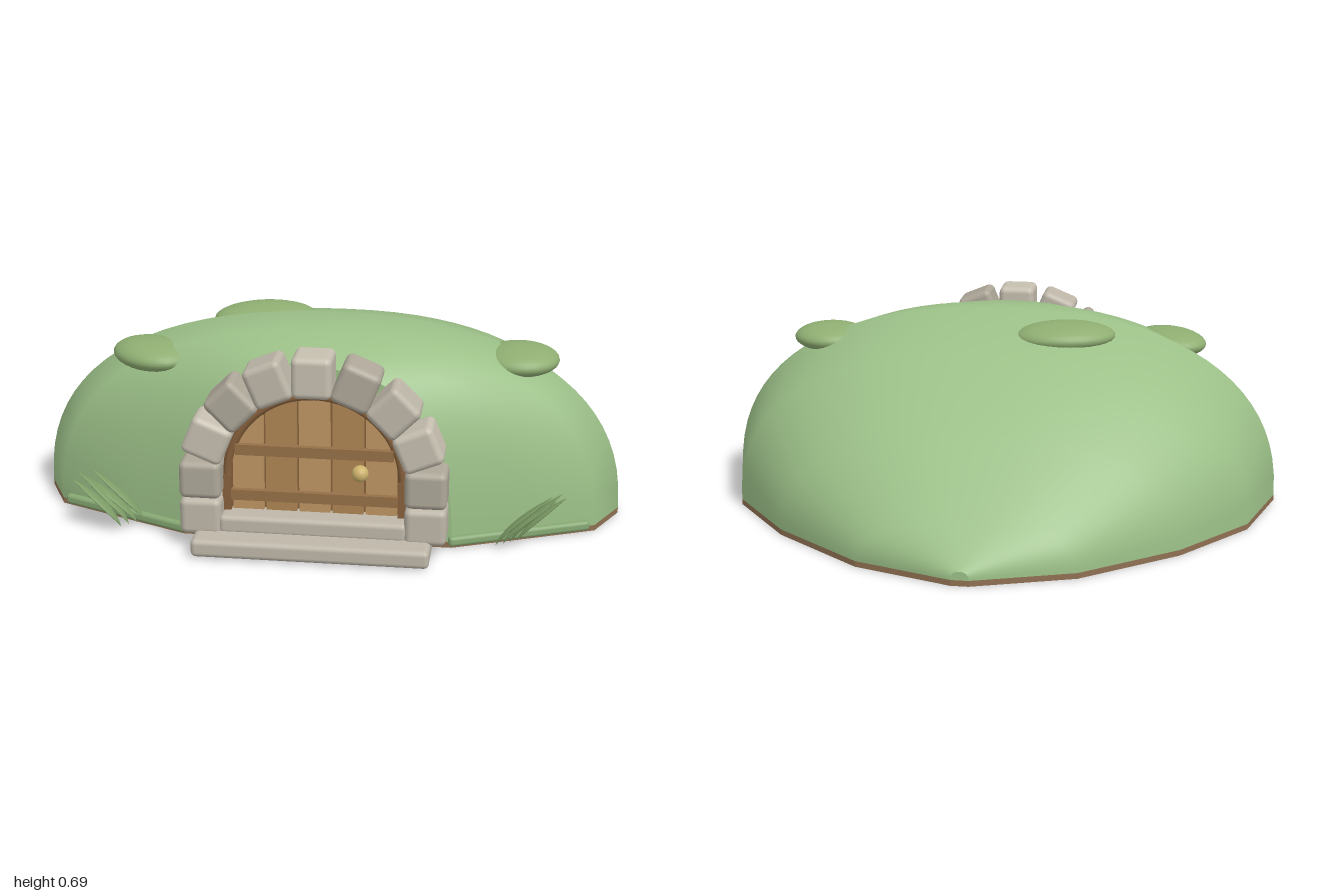
import * as THREE from 'three';
import { RoundedBoxGeometry } from 'three/addons/geometries/RoundedBoxGeometry.js';

const mat = (color, side = THREE.FrontSide) => new THREE.MeshStandardMaterial({ color, side });
const GRASS = mat(0x9cc088), BUSH = mat(0x8fae72), BLADE = mat(0x7f9f68), STRIP = mat(0x86a873);
const EARTH = mat(0x8f7052), SOIL = mat(0x43372c);
const STONES = [mat(0xbdb6a8), mat(0xaea799), mat(0xc6bfb0)];
const PLANKS = [mat(0xbd9562), mat(0xad8554)];
const FRAME = mat(0x86603c), BAR = mat(0x957048), BRASS = mat(0xcdb26c);

// Mound sections from front to back: z, half width, height
const SECTIONS = [
  [0.58, 0.45, 0.61], [0.5, 0.64, 0.65], [0.38, 0.92, 0.67], [0.22, 1, 0.685],
  [-0.11, 0.91, 0.595], [-0.4, 0.69, 0.395], [-0.66, 0.37, 0.17], [-0.78, 0.03, 0.05],
];
const BASE = 0.02;
const ARCH_Y = 0.24;

function add(parent, name, geometry, material, x = 0, y = 0, z = 0) {
  const mesh = new THREE.Mesh(geometry, material);
  mesh.name = name;
  mesh.position.set(x, y, z);
  parent.add(mesh);
  return mesh;
}

function moundGeometry() {
  const N = 40, row = N + 1, pos = [], idx = [];
  const ring = ([z, w, h]) => {
    for (let i = 0; i <= N; i++) {
      const t = (Math.PI * i) / N, c = Math.cos(t), s = Math.max(0, Math.sin(t));
      pos.push(w * Math.sign(c) * Math.abs(c) ** 0.85, BASE + (h - BASE) * s ** 0.85, z);
    }
  };
  SECTIONS.forEach(ring);
  for (let j = 0; j < SECTIONS.length - 1; j++) {
    for (let i = 0; i < N; i++) {
      const a = j * row + i, b = a + row;
      idx.push(a, b, a + 1, a + 1, b, b + 1);
    }
  }
  // Flat end caps
  [SECTIONS[0], SECTIONS[SECTIONS.length - 1]].forEach((section, k) => {
    const start = pos.length / 3;
    ring(section);
    const centre = pos.length / 3;
    pos.push(0, BASE, section[0]);
    for (let i = start; i < start + N; i++) idx.push(centre, k ? i + 1 : i, k ? i : i + 1);
  });
  const g = new THREE.BufferGeometry();
  g.setAttribute('position', new THREE.Float32BufferAttribute(pos, 3));
  g.setIndex(idx);
  g.computeVertexNormals();
  return g;
}

// Upright slice of a round-topped panel between x0 and x1
function archPanel(x0, x1, radius, bottom, depth) {
  const s = new THREE.Shape();
  s.moveTo(x0, bottom);
  s.lineTo(x1, bottom);
  for (let i = 0; i <= 16; i++) {
    const x = x1 + ((x0 - x1) * i) / 16;
    s.lineTo(x, ARCH_Y + Math.sqrt(Math.max(0, radius * radius - x * x)));
  }
  return new THREE.ExtrudeGeometry(s, { depth, bevelEnabled: false });
}

// Pointed leaf that leans sideways as it rises
function bladeGeometry(lean, height) {
  const g = new THREE.SphereGeometry(1, 10, 10), p = g.attributes.position;
  for (let i = 0; i < p.count; i++) {
    const y = p.getY(i), s = (y + 1) / 2, r = Math.sqrt(Math.max(0, 1 - y * y));
    p.setXYZ(i, p.getX(i) * r * 0.009 + lean * s ** 1.3, height * s, p.getZ(i) * r * 0.026);
  }
  g.computeVertexNormals();
  return g;
}

export function createModel() {
  const model = new THREE.Group();
  model.name = 'moundHouse';

  // Grassy mound on an earth slab
  add(model, 'mound', moundGeometry(), GRASS);
  const outline = [
    ...SECTIONS.map(([z, w]) => new THREE.Vector2(w, -z)),
    ...[...SECTIONS].reverse().map(([z, w]) => new THREE.Vector2(-w, -z)),
  ];
  const slab = new THREE.ExtrudeGeometry(new THREE.Shape(outline), { depth: BASE, bevelEnabled: false });
  slab.rotateX(-Math.PI / 2);
  add(model, 'earthSlab', slab, [SOIL, EARTH]);

  // Low bushes on the mound: x, y, z, radius x, radius z, turn
  [[-0.24, 0.622, 0.1, 0.18, 0.125, 0.25], [-0.595, 0.555, 0.34, 0.15, 0.115, -0.65],
    [0.645, 0.555, 0.24, 0.135, 0.13, 0.2]].forEach(([x, y, z, rx, rz, turn]) => {
    const bush = add(model, 'bush', new THREE.SphereGeometry(1, 28, 18), BUSH, x, y, z);
    bush.scale.set(rx, 0.05, rz);
    bush.rotation.y = turn;
  });

  // Arch stones: two jamb blocks each side and a ring of seven
  const arch = new THREE.Group();
  arch.name = 'stoneArch';
  model.add(arch);
  const Z = 0.635;
  for (const side of [-1, 1]) {
    [0.115, 0.243].forEach((y, i) => add(arch, 'jambStone',
      new RoundedBoxGeometry(0.138, 0.126 + i * 0.002, 0.13, 3, 0.022), STONES[i], side * 0.37, y, Z));
  }
  for (let i = 0; i < 7; i++) {
    const a = (Math.PI * (i + 1)) / 8;
    const stone = add(arch, i === 3 ? 'keystone' : 'archStone',
      new RoundedBoxGeometry(0.132, 0.14, 0.138, 3, 0.022), STONES[(i + 2) % 3],
      0.372 * Math.cos(a), ARCH_Y + 0.372 * Math.sin(a), Z);
    stone.rotation.z = a - Math.PI / 2;
  }
  add(model, 'sill', new RoundedBoxGeometry(0.62, 0.065, 0.12, 3, 0.018), STONES[0], 0, 0.09, 0.635);
  add(model, 'doorstep', new RoundedBoxGeometry(0.78, 0.062, 0.2, 3, 0.018), STONES[0], 0, 0.038, 0.68);

  // Round-topped plank door
  const door = new THREE.Group();
  door.name = 'door';
  model.add(door);
  add(door, 'doorBacking', archPanel(-0.31, 0.31, 0.31, 0.06, 0.03), FRAME, 0, 0, 0.572);
  const rim = add(door, 'doorFrame', new THREE.TorusGeometry(0.29, 0.016, 8, 32, Math.PI), FRAME, 0, ARCH_Y, 0.615);
  rim.scale.z = 1.4;
  for (const side of [-1, 1]) {
    add(door, 'framePost', new THREE.BoxGeometry(0.028, 0.16, 0.045), FRAME, side * 0.29, 0.165, 0.615);
  }
  for (let i = 0; i < 5; i++) {
    const x = -0.275 + i * 0.11;
    add(door, 'plank', archPanel(x + 0.004, x + 0.106, 0.28, 0.1, 0.022), PLANKS[i % 2], 0, 0, 0.6);
  }
  add(door, 'upperBar', new THREE.BoxGeometry(0.52, 0.036, 0.022), BAR, 0, 0.338, 0.63);
  add(door, 'lowerBar', new THREE.BoxGeometry(0.55, 0.036, 0.022), BAR, 0, 0.178, 0.63);
  add(door, 'knob', new THREE.SphereGeometry(0.028, 18, 12), BRASS, 0.153, 0.278, 0.648);

  // Turf edging and grass tufts on both sides of the door
  for (const side of [-1, 1]) {
    const edge = add(model, 'turfEdge', new RoundedBoxGeometry(0.5, 0.034, 0.03, 2, 0.012), STRIP,
      side * 0.67, 0.027, 0.492);
    edge.rotation.y = side * Math.atan2(0.2, 0.47);
    const tuft = new THREE.Group();
    tuft.name = 'grassTuft';
    model.add(tuft);
    for (let i = 0; i < 4; i++) {
      add(tuft, 'blade', bladeGeometry(side * (0.16 + i * 0.008), 0.165 + (i % 2) * 0.02), BLADE,
        side * (0.665 - i * 0.023), 0.02, 0.535 + (3 - i) * 0.002 + (side > 0 ? i : 3 - i) * 0.017);
    }
  }
  return model;
}
